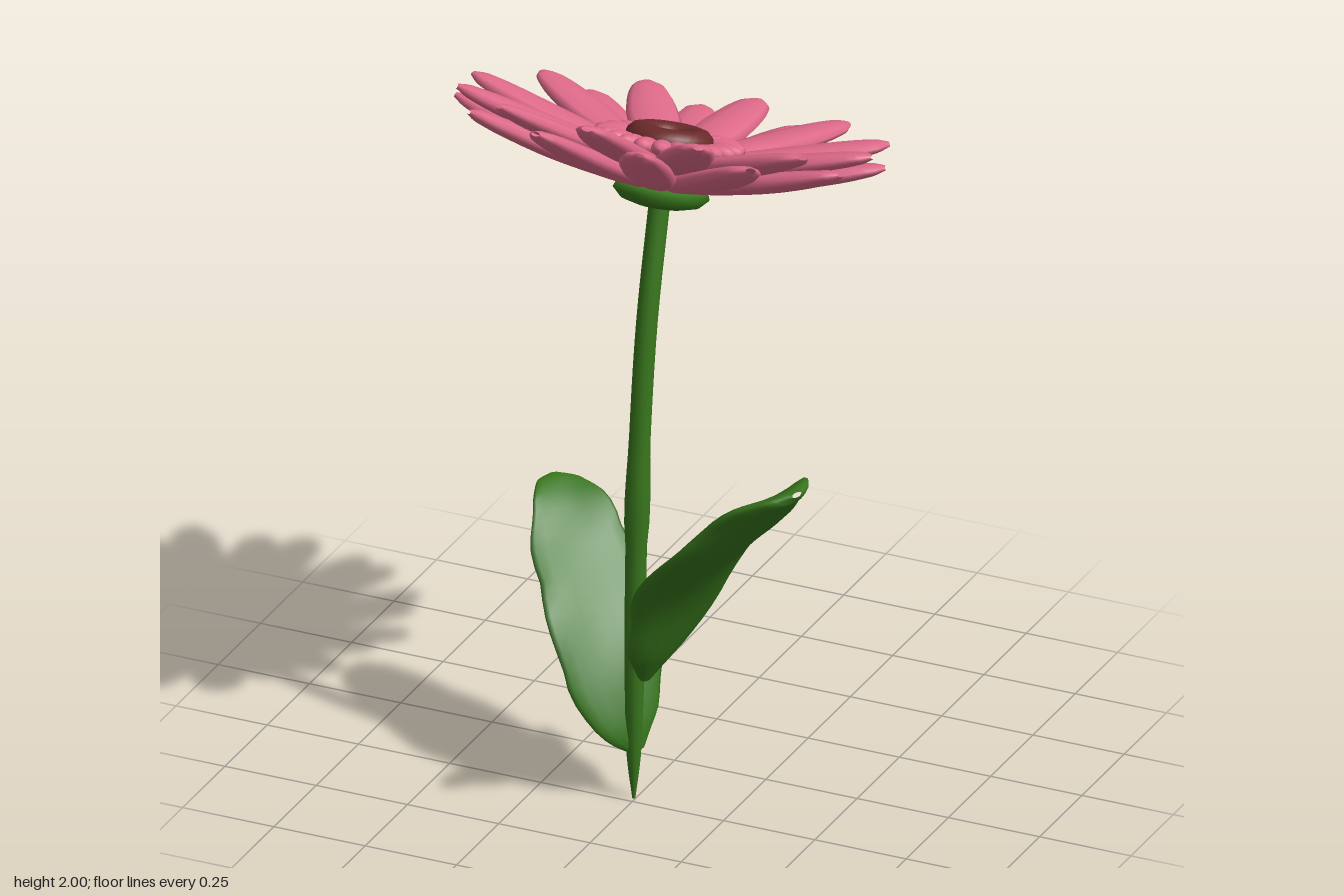
import * as THREE from 'three';

const petalMat = new THREE.MeshStandardMaterial({ color: 0xe06b8b });
const greenMat = new THREE.MeshStandardMaterial({ color: 0x38761c });
const eyeMat = new THREE.MeshStandardMaterial({ color: 0x6b2a2a });

// Lofts ellipses along stations [x, y, z, halfWidth, halfThickness].
// across: width direction; cup: lift of the edges; wave: ripple of the edges
function loft(stations, across, { steps = 20, sides = 12, cup = 0, wave = 0 } = {}) {
  const path = new THREE.CatmullRomCurve3(stations.map(s => new THREE.Vector3(s[0], s[1], s[2])));
  const size = new THREE.CatmullRomCurve3(stations.map(s => new THREE.Vector3(s[3], s[4], 0)));
  const pos = [], idx = [];
  for (let i = 0; i <= steps; i++) {
    const t = i / steps;
    const p = path.getPoint(t), T = path.getTangent(t), s = size.getPoint(t);
    const W = across.clone().addScaledVector(T, -across.dot(T)).normalize();
    const N = new THREE.Vector3().crossVectors(T, W);
    const fade = Math.sin(Math.PI * t);
    for (let j = 0; j < sides; j++) {
      const a = (j / sides) * Math.PI * 2, c = Math.cos(a);
      const ripple = wave * fade * c * Math.sin(t * 17 + c);
      const w = Math.max(s.x, 0.001) * c * (1 + 2 * Math.abs(ripple));
      const h = Math.max(s.y, 0.001) * Math.sin(a) + cup * fade * c * c + ripple * 0.3;
      const v = p.clone().addScaledVector(W, w).addScaledVector(N, h);
      pos.push(v.x, v.y, v.z);
      if (i < steps) {
        const k = (j + 1) % sides, b = i * sides, n = b + sides;
        idx.push(b + j, b + k, n + k, b + j, n + k, n + j);
      }
    }
  }
  const g = new THREE.BufferGeometry();
  g.setAttribute('position', new THREE.Float32BufferAttribute(pos, 3));
  g.setIndex(idx);
  g.computeVertexNormals();
  return g;
}

function add(parent, name, geometry, material) {
  const m = new THREE.Mesh(geometry, material);
  m.name = name;
  parent.add(m);
  return m;
}

// A ring of equal parts turned about the flower axis
function ring(parent, name, geometry, count, offset) {
  const g = new THREE.Group();
  g.name = name + 's';
  for (let i = 0; i < count; i++) {
    add(g, name, geometry, petalMat).rotation.y = ((i + offset) / count) * Math.PI * 2;
  }
  parent.add(g);
}

// Petal running out along +z from radius 0.06 to r, rising from h0 to h1
function petal(r, h0, h1) {
  const rows = [[0, 0.035, 0.02], [0.28, 0.058, 0.026], [0.55, 0.07, 0.027],
    [0.8, 0.06, 0.023], [0.94, 0.042, 0.016], [1, 0.014, 0.006]];
  const stations = rows.map(([t, w, d]) =>
    [0, h0 + (h1 - h0) * t - 0.008 * Math.sin(Math.PI * t), 0.06 + (r - 0.06) * t, w, d]);
  return loft(stations, new THREE.Vector3(1, 0, 0), { steps: 14, sides: 10 });
}

export function createModel() {
  const model = new THREE.Group();
  model.name = 'flower';

  // Stem: pointed foot, slight backward bend at the top
  add(model, 'stem', loft([
    [-0.005, 0, 0.23, 0.004, 0.004], [-0.005, 0.12, 0.23, 0.018, 0.018],
    [-0.004, 0.35, 0.228, 0.025, 0.025], [-0.003, 0.7, 0.22, 0.027, 0.027],
    [-0.002, 1.0, 0.2, 0.027, 0.027], [-0.002, 1.3, 0.158, 0.027, 0.027],
    [-0.003, 1.61, 0.078, 0.027, 0.027],
  ], new THREE.Vector3(1, 0, 0), { steps: 30 }), greenMat);

  // Large left leaf and small right leaf
  add(model, 'largeLeaf', loft([
    [0.02, 0.335, 0.22, 0.02, 0.012], [0.06, 0.43, 0.222, 0.105, 0.03],
    [0.135, 0.58, 0.235, 0.16, 0.034], [0.235, 0.74, 0.28, 0.19, 0.034],
    [0.345, 0.87, 0.33, 0.172, 0.032], [0.45, 0.975, 0.375, 0.12, 0.026],
    [0.505, 1.025, 0.4, 0.065, 0.018], [0.525, 1.04, 0.41, 0.015, 0.006],
  ], new THREE.Vector3(0.33, 0, -0.94), { steps: 28, sides: 16, cup: 0.03, wave: 0.04 }), greenMat);
  add(model, 'smallLeaf', loft([
    [0, 0.13, 0.22, 0.02, 0.01], [-0.03, 0.2, 0.22, 0.085, 0.026],
    [-0.085, 0.32, 0.195, 0.13, 0.032], [-0.155, 0.45, 0.135, 0.142, 0.032],
    [-0.235, 0.565, 0.06, 0.125, 0.028], [-0.3, 0.645, -0.005, 0.095, 0.022],
    [-0.345, 0.685, -0.045, 0.055, 0.014], [-0.36, 0.695, -0.06, 0.015, 0.006],
  ], new THREE.Vector3(-0.64, 0, 0.77), { steps: 26, sides: 16, cup: 0.03, wave: 0.04 }), greenMat);

  // Flower head, tilted back
  const head = new THREE.Group();
  head.name = 'flowerHead';
  head.position.set(-0.002, 1.615, 0.075);
  head.rotation.x = -0.365;
  model.add(head);

  const cup = [[0, -0.035], [0.06, -0.033], [0.1, -0.022], [0.122, 0], [0.115, 0.018], [0.08, 0.028], [0, 0.03]];
  add(head, 'receptacle', new THREE.LatheGeometry(cup.map(([x, y]) => new THREE.Vector2(x, y)), 28), greenMat);

  // Core that carries the petals
  add(head, 'core', new THREE.CylinderGeometry(0.11, 0.09, 0.1, 24), petalMat).position.y = 0.07;

  // Two staggered layers of long petals
  ring(head, 'lowerPetal', petal(0.547, 0.03, 0.157), 12, 0.5);
  ring(head, 'upperPetal', petal(0.547, 0.075, 0.198), 12, 0);

  // Collar of short florets
  const floret = new THREE.SphereGeometry(1, 12, 8);
  floret.scale(0.029, 0.022, 0.052);
  floret.rotateX(-0.1);
  floret.translate(0, 0.13, 0.142);
  ring(head, 'floret', floret, 22, 0);

  // Dark eye: a ring with a button inside
  const eyeRing = new THREE.TorusGeometry(0.076, 0.037, 12, 32);
  eyeRing.rotateX(Math.PI / 2);
  add(head, 'eyeRing', eyeRing, eyeMat).position.y = 0.135;
  const button = add(head, 'eyeButton', new THREE.SphereGeometry(0.052, 20, 12), eyeMat);
  button.position.y = 0.125;
  button.scale.y = 0.4;

  return model;
}
